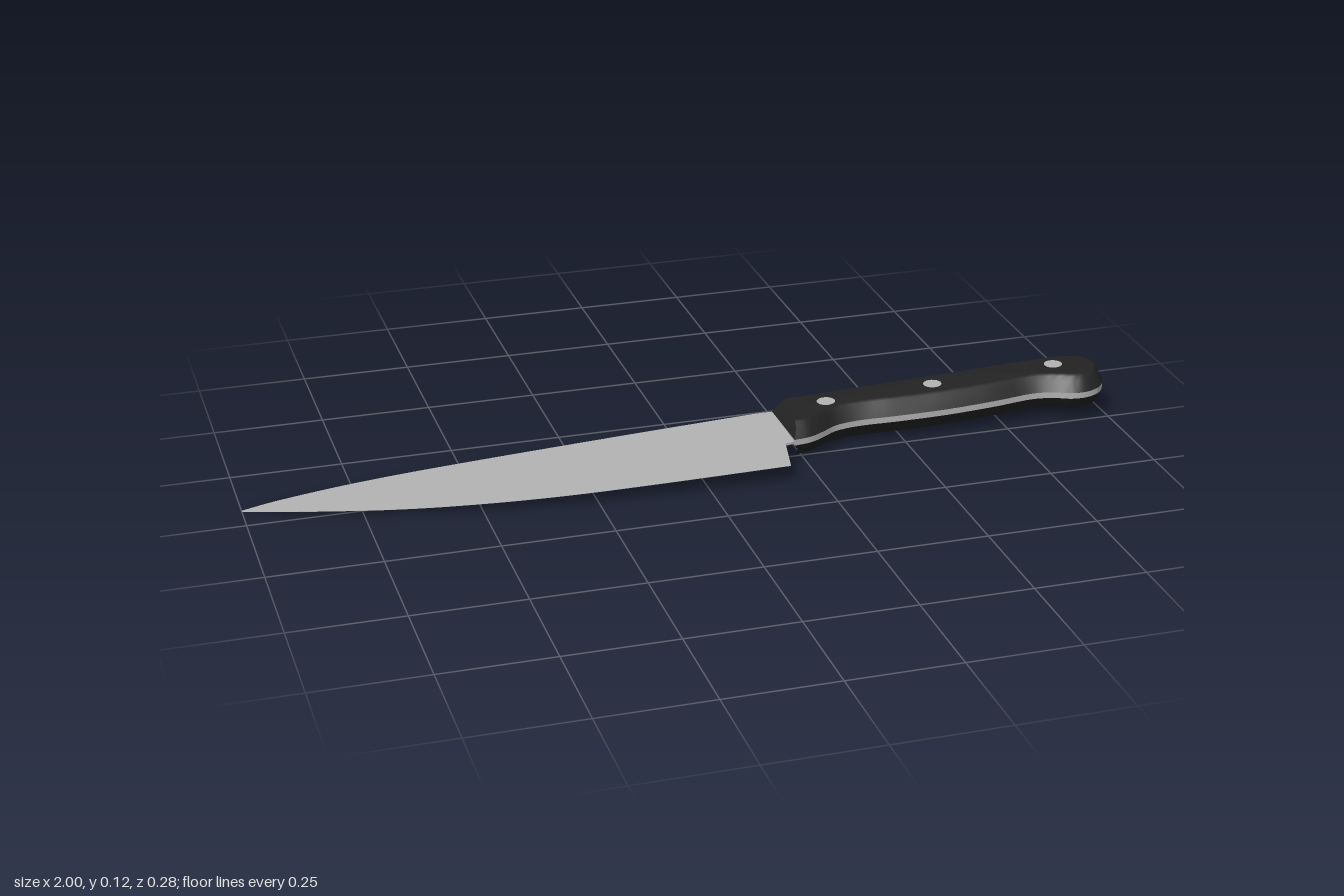
import * as THREE from 'three';
import { toCreasedNormals } from 'three/addons/utils/BufferGeometryUtils.js';

const steel = new THREE.MeshStandardMaterial({ color: 0xb2b2b2 });
steel.name = 'steel';
const black = new THREE.MeshStandardMaterial({ color: 0x222222 });
black.name = 'black grip';

function mesh(name, tris, material, crease = 0.6) {
  const geo = new THREE.BufferGeometry();
  geo.setAttribute('position', new THREE.Float32BufferAttribute(tris.flat(), 3));
  const m = new THREE.Mesh(toCreasedNormals(geo, crease), material);
  m.name = name;
  return m;
}

const quad = (out, a, b, c, d) => out.push(a, b, c, a, c, d);

// Wedge blade: thick at the spine, thin at the cutting edge
function makeBlade() {
  const profile = [ // x, spine z, edge z
    [-1, -0.072, -0.068], [-0.95, -0.086, -0.048], [-0.9, -0.096, -0.03], [-0.8, -0.111, 0.004],
    [-0.7, -0.121, 0.035], [-0.6, -0.127, 0.06], [-0.45, -0.132, 0.088], [-0.3, -0.135, 0.107],
    [-0.1, -0.138, 0.121], [0.18, -0.14, 0.135],
  ];
  const curve = new THREE.CatmullRomCurve3(profile.map((p) => new THREE.Vector3(...p)));
  const stations = curve.getPoints(45).map((p) => [p.x, p.y, p.z, p.z]);
  // Heel and the short neck running into the handle
  stations.push([0.203, -0.139, 0.028, 0.136], [0.26, -0.132, 0.02, 0.136]);
  const sections = stations.map(([x, spine, edge, fullEdge]) => {
    const t = 0.001 + 0.006 * Math.min(1, (x + 1) / 1.2);
    const e = Math.max(0.0003, t * (fullEdge - edge) / (fullEdge - spine));
    return [[x, t, spine], [x, e, edge], [x, -e, edge], [x, -t, spine]];
  });
  const tris = [];
  for (let i = 0; i + 1 < sections.length; i++) {
    const [A, B] = [sections[i], sections[i + 1]];
    for (let k = 0; k < 4; k++) quad(tris, A[k], A[(k + 1) % 4], B[(k + 1) % 4], B[k]);
  }
  const [tip, end] = [sections[0], sections.at(-1)];
  quad(tris, tip[3], tip[2], tip[1], tip[0]);
  quad(tris, end[0], end[1], end[2], end[3]);
  return mesh('blade', tris, steel, 0.3);
}

// Handle outline seen from above, from the front corner round the butt to the back
function handleOutline() {
  const pts = [
    [0.225, 0.026], [0.265, 0.022], [0.3, 0.006], [0.335, -0.014], [0.39, -0.021], [0.48, -0.013],
    [0.6, -0.006], [0.72, -0.009], [0.82, -0.016], [0.865, -0.004], [0.9, 0.014], [0.935, 0.018],
    [0.972, 0.003], [0.996, -0.035], [0.998, -0.075], [0.98, -0.11], [0.945, -0.132], [0.89, -0.139],
    [0.6, -0.139], [0.225, -0.138],
  ].map(([x, z]) => new THREE.Vector3(x, 0, z));
  return new THREE.CatmullRomCurve3(pts).getPoints(76);
}

// Outline moved inwards along its mitred normals
function insetRing(outline, y, amount) {
  const n = outline.length;
  const normal = (a, b) => new THREE.Vector2(a.z - b.z, b.x - a.x).normalize();
  return outline.map((p, i) => {
    const n1 = normal(outline[(i + n - 1) % n], p);
    const n2 = normal(p, outline[(i + 1) % n]);
    const m = n1.clone().add(n2).divideScalar(1 + n1.dot(n2));
    const back = m.y < 0 ? 0.7 : 1; // the back is chamfered less
    const butt = m.x > 0 ? 0.6 : 1;
    return [p.x - m.x * amount * butt, y, p.z - m.y * amount * back];
  });
}

function wall(lower, upper) {
  const tris = [];
  lower.forEach((a, i) => {
    const j = (i + 1) % lower.length;
    quad(tris, a, lower[j], upper[j], upper[i]);
  });
  return tris;
}

function cap(ring, up) {
  const flat = ring.map(([x, , z]) => new THREE.Vector2(x, -z));
  const tris = [];
  for (const [a, b, c] of THREE.ShapeUtils.triangulateShape(flat, [])) {
    const ccw = flat[b].clone().sub(flat[a]).cross(flat[c].clone().sub(flat[a])) > 0;
    tris.push(ring[a], ring[ccw === up ? b : c], ring[ccw === up ? c : b]);
  }
  return tris;
}

export function createModel() {
  const model = new THREE.Group();
  model.name = 'kitchenKnife';
  // The knife rests on its tip and the front of its handle
  const knife = new THREE.Group();
  knife.name = 'tiltedKnife';
  knife.rotation.z = Math.atan(0.036);
  knife.position.y = 0.0365;
  model.add(knife);
  knife.add(makeBlade());

  // Steel tang between two chamfered grip scales
  const outline = handleOutline();
  const levels = [[0.007, 0], [0.031, 0.016], [0.039, 0.022], [0.043, 0.029]];
  const rings = (s) => levels.map(([y, inset]) => insetRing(outline, s * y, inset));
  const [top, bottom] = [rings(1), rings(-1)];
  knife.add(mesh('tang', wall(bottom[0], top[0]), steel));
  const upper = cap(top[3], true);
  const lower = cap(bottom[3], false);
  for (let i = 0; i < 3; i++) {
    upper.push(...wall(top[i], top[i + 1]));
    lower.push(...wall(bottom[i + 1], bottom[i]));
  }
  knife.add(mesh('upperGripScale', upper, black), mesh('lowerGripScale', lower, black));

  // Rivets through the handle
  for (const [x, z] of [[0.333, -0.072], [0.592, -0.076], [0.892, -0.08]]) {
    const rivet = new THREE.Mesh(new THREE.CylinderGeometry(0.021, 0.021, 0.0872, 24), steel);
    rivet.name = 'rivet';
    rivet.position.set(x, 0, z);
    knife.add(rivet);
  }
  return model;
}
